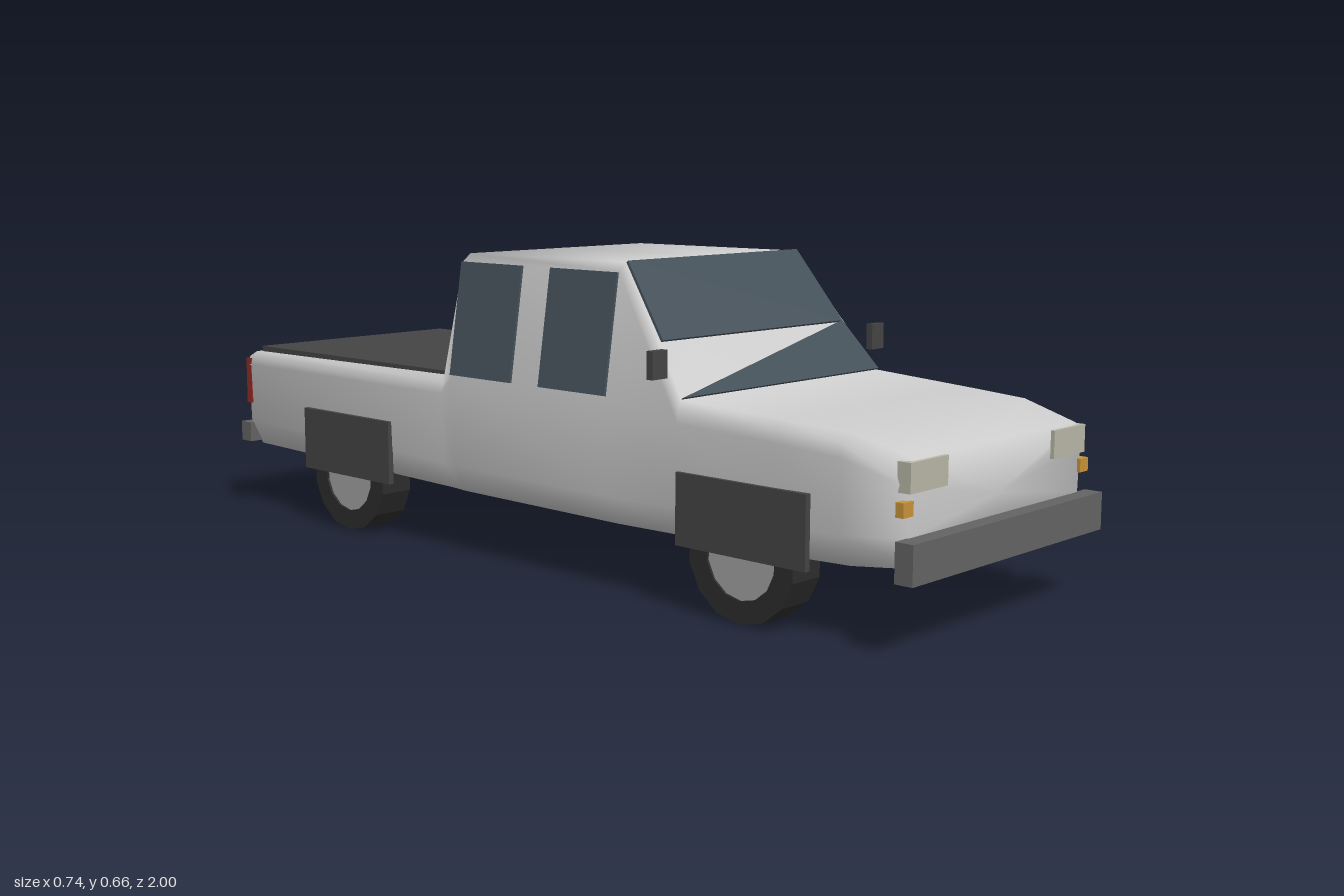
import * as THREE from 'three';

const mat = (color, flatShading = false) => new THREE.MeshStandardMaterial({ color, flatShading });
const paint = mat(0xcccccc), glass = mat(0x45515a), trim = mat(0x444444), bumperGrey = mat(0x636363);
const rubber = mat(0x2c2c2c, true), hubGrey = mat(0xa0a0a0, true), lamp = mat(0xb8b6a6);
const amber = mat(0xc8923a), red = mat(0x8e2a24);

function add(parent, name, geometry, material, x = 0, y = 0, z = 0) {
  const mesh = new THREE.Mesh(geometry, material);
  mesh.name = name;
  mesh.position.set(x, y, z);
  parent.add(mesh);
  return mesh;
}

// box given by its limits on each axis
function box(parent, name, material, [x0, x1], [y0, y1], [z0, z1]) {
  return add(parent, name, new THREE.BoxGeometry(x1 - x0, y1 - y0, z1 - z0), material,
    (x0 + x1) / 2, (y0 + y1) / 2, (z0 + z1) / 2);
}

// smooth shell lofted through mirrored cross-sections from nose to tail
function bodyGeometry() {
  // z, bottom, half width, belt height, shoulder x, shoulder y, top x, top y
  const sections = [
    [0.965, 0.15, 0.292, 0.30, 0.29, 0.335, 0.272, 0.35],
    [0.84, 0.14, 0.318, 0.34, 0.314, 0.366, 0.29, 0.383],
    [0.70, 0.137, 0.325, 0.35, 0.322, 0.375, 0.302, 0.391],
    [0.46, 0.135, 0.326, 0.36, 0.324, 0.386, 0.314, 0.405],
    [0.27, 0.132, 0.326, 0.39, 0.288, 0.637, 0.267, 0.655],
    [-0.195, 0.135, 0.326, 0.39, 0.288, 0.637, 0.267, 0.653],
    [-0.23, 0.137, 0.326, 0.35, 0.32, 0.374, 0.30, 0.385],
    [-0.965, 0.15, 0.32, 0.35, 0.315, 0.37, 0.295, 0.38],
  ];
  const pos = [], index = [];
  for (const [z, b, w, belt, sx, sy, tx, ty] of sections) {
    const half = [[w - 0.035, b], [w - 0.005, b + 0.06], [w, belt], [sx, sy], [tx, ty]];
    const ring = [[0, b], ...half, [0, ty], ...half.map(([x, y]) => [-x, y]).reverse()];
    ring.forEach(([x, y]) => pos.push(x, y, z));
  }
  const n = 12, last = sections.length - 1;
  for (let i = 0; i < last; i++) {
    for (let j = 0; j < n; j++) {
      const a = i * n + j, b = i * n + (j + 1) % n, c = a + n, d = b + n;
      index.push(a, c, b, b, c, d);
    }
  }
  // nose and tail caps
  pos.push(0, 0.25, 0.965, 0, 0.26, -0.965);
  const nose = sections.length * n, tail = nose + 1;
  for (let j = 0; j < n; j++) {
    const k = (j + 1) % n;
    index.push(nose, j, k, tail, last * n + k, last * n + j);
  }
  const geometry = new THREE.BufferGeometry();
  geometry.setAttribute('position', new THREE.Float32BufferAttribute(pos, 3));
  geometry.setIndex(index);
  geometry.computeVertexNormals();
  return geometry;
}

// slanted pane, drawn by height and laid along the screen slope
function windscreen(parent) {
  const rise = 0.25, run = 0.19, stretch = Math.hypot(rise, run) / rise;
  const outline = [[-0.315, 0.405], [0.315, 0.405], [0.285, 0.505], [0.267, 0.655],
    [-0.267, 0.655], [-0.287, 0.507], [0.28, 0.505]];
  const shape = new THREE.Shape(outline.map(([x, y]) => new THREE.Vector2(x, (y - 0.405) * stretch)));
  const pane = add(parent, 'windscreen',
    new THREE.ExtrudeGeometry(shape, { depth: 0.006, bevelEnabled: false }), glass, 0, 0.405, 0.46);
  pane.rotation.x = -Math.atan2(run, rise);
}

// ring tyre around a thinner hub
function wheel(parent, side, z) {
  const g = new THREE.Group();
  g.name = 'wheel';
  g.position.set(side * 0.285, 0.125, z);
  g.rotation.z = Math.PI / 2;
  const r = 0.128, inner = 0.083, h = 0.04;
  const profile = [[inner, -h], [r, -h], [r, h], [inner, h], [inner, -h]].map(p => new THREE.Vector2(...p));
  add(g, 'tyre', new THREE.LatheGeometry(profile, 14), rubber).rotation.y = Math.PI / 14;
  add(g, 'hub', new THREE.CylinderGeometry(inner, inner, 0.07, 14), hubGrey).rotation.y = Math.PI / 14;
  parent.add(g);
}

export function createModel() {
  const truck = new THREE.Group();
  truck.name = 'pickupTruck';

  add(truck, 'body', bodyGeometry(), paint);
  windscreen(truck);
  box(truck, 'bedCover', trim, [-0.285, 0.285], [0.375, 0.393], [-0.955, -0.255]);
  box(truck, 'frontBumper', bumperGrey, [-0.322, 0.322], [0.135, 0.21], [0.962, 1]);
  box(truck, 'rearBumper', bumperGrey, [-0.322, 0.322], [0.158, 0.205], [-1, -0.962]);
  box(truck, 'rearPlate', lamp, [-0.08, 0.08], [0.275, 0.318], [-0.973, -0.96]);

  // parts mirrored on both sides
  for (const s of [-1, 1]) {
    const span = (a, b) => (s > 0 ? [a, b] : [-b, -a]);
    box(truck, 'headlight', lamp, span(0.18, 0.295), [0.29, 0.345], [0.945, 0.973]);
    box(truck, 'indicator', amber, span(0.283, 0.313), [0.25, 0.277], [0.955, 0.972]);
    box(truck, 'tailLight', red, span(0.262, 0.32), [0.255, 0.365], [-0.975, -0.955]);
    box(truck, 'mirror', trim, span(0.328, 0.37), [0.445, 0.5], [0.422, 0.437]);

    for (const z of [0.27, -0.005]) {
      const pane = add(truck, 'sideWindow', new THREE.BoxGeometry(0.008, 0.245, 0.19), glass,
        s * 0.3085, 0.515, z - 0.095);
      pane.rotation.z = s * Math.atan2(0.038, 0.247);
    }
    for (const z of [0.618, -0.567]) {
      wheel(truck, s, z);
      box(truck, 'wheelArch', trim, span(0.318, 0.331), [0.125, 0.268], [z - 0.157, z + 0.157]);
    }
  }
  return truck;
}
